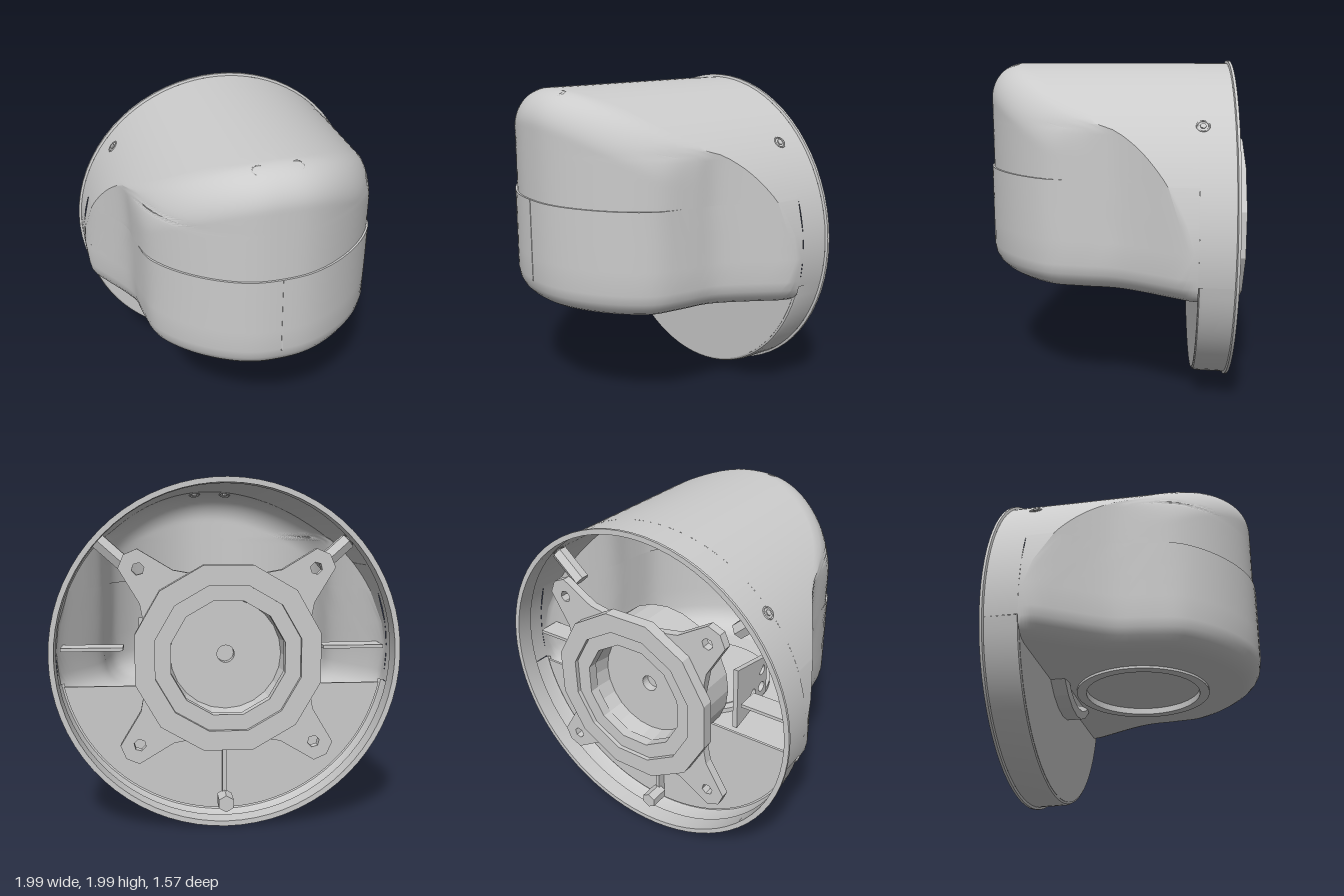
import * as THREE from 'three';
import { toCreasedNormals } from 'three/addons/utils/BufferGeometryUtils.js';

const grey = new THREE.MeshStandardMaterial({ color: 0xcccccc, side: THREE.DoubleSide });
const facet = new THREE.MeshStandardMaterial({ color: 0xcccccc, side: THREE.DoubleSide, flatShading: true });
const R = 0.98, CY = 1, BOTTOM = 0.7, BACK = -0.49;

// plan outline of the housing, mirrored about x = 0
const half = [[0.985, BACK], [0.965, -0.41], [0.89, -0.28], [0.8, -0.13], [0.74, 0], [0.72, 0.15],
  [0.68, 0.33], [0.6, 0.46], [0.47, 0.59], [0.3, 0.7], [0.15, 0.755], [0, 0.768]];
const outline = [...half, ...half.slice(0, -1).reverse().map(([x, z]) => [-x, z])];
const plan = new THREE.CatmullRomCurve3(outline.map(([x, z]) => new THREE.Vector3(x, 0, z)), false, 'centripetal');
const N = 96, K = 14;
const { smoothstep, clamp } = THREE.MathUtils;
const circleX = y => Math.sqrt(Math.max(0, R * R - (y - CY) ** 2));
const fillet = (d, r) => (d >= r ? 0 : r - Math.sqrt(Math.max(0, r * r - (r - d) ** 2)));

// plan parameter, on the +x side, where the outline reaches a given x
function planAt(x) {
  let lo = 0, hi = 0.5;
  for (let i = 0; i < 30; i++) {
    const mid = (lo + hi) / 2;
    if (plan.getPoint(mid).x > x) lo = mid; else hi = mid;
  }
  return lo;
}

// one level of the housing: plan outline cut by the round drum, with rounded edges
function level(y, grow) {
  const c = circleX(y), u0 = planAt(c);
  return Array.from({ length: N + 1 }, (_, i) => {
    const side = Math.min(i, N - i);
    let u = side < K ? u0 * side / K : u0 + (0.5 - u0) * (side - K) / (N / 2 - K);
    if (i > N / 2) u = 1 - u;
    const p = plan.getPoint(u), t = plan.getTangent(u);
    const inset = fillet(y - BOTTOM, 0.16) - grow * smoothstep(p.z, 0.2, 0.4);
    const x = clamp(p.x - t.z * inset, -c, c);
    let z = Math.max(BACK, p.z + t.x * inset);
    if (y > 1.4) {
      const front = plan.getPoint(planAt(Math.abs(x))).z;
      const top = CY + Math.sqrt(R * R - x * x);
      z = Math.min(z, front - fillet(Math.max(0, top - y), 0.2) * smoothstep(front, 0, 0.35));
    }
    return [x, y, z];
  });
}

function shell(rows) {
  const pos = [], idx = [], W = N + 1;
  rows.forEach(([y, grow], j) => level(y, grow).forEach((p, i) => {
    pos.push(...p);
    if (j && i) {
      const a = (j - 1) * W + i - 1, b = a + 1, c = a + W, d = c + 1;
      idx.push(a, c, b, b, c, d);
    }
  }));
  const geo = new THREE.BufferGeometry();
  geo.setAttribute('position', new THREE.Float32BufferAttribute(pos, 3));
  geo.setIndex(idx);
  return toCreasedNormals(geo, 0.6);
}

// lathe about the z axis from [radius, z] points; angle 0 points down
const turned = (points, sides, from = 0, sweep = Math.PI * 2) =>
  new THREE.LatheGeometry(points.map(p => new THREE.Vector2(...p)), sides, from, sweep).rotateX(Math.PI / 2);

export function createModel() {
  const model = new THREE.Group();
  const add = (name, geo, mat = grey, x = 0, y = 0, z = 0, parent = model) => {
    const m = new THREE.Mesh(geo, mat);
    m.name = name;
    m.position.set(x, y, z);
    parent.add(m);
    return m;
  };
  const extrude = (shape, depth) => new THREE.ExtrudeGeometry(shape, { depth, bevelEnabled: false, curveSegments: 32 });
  const disc = (r, x = 0, y = 0) => new THREE.Path().absarc(x, y, r, 0, Math.PI * 2, true);
  const polygon = (r, n, turn = 0) => Array.from({ length: n }, (_, i) => {
    const a = turn + (i / n) * Math.PI * 2;
    return new THREE.Vector2(r * Math.cos(a), r * Math.sin(a));
  });

  // housing shells, split at the seam
  add('lowerHousing', shell([0.7, 0.704, 0.715, 0.735, 0.765, 0.805, 0.86, 1, 1.15, 1.345]
    .map(y => [y, 0.012]).concat([[1.35, 0.012], [1.35, 0]])));
  const t0 = Math.asin(0.35 / R);
  add('upperHousing', shell(Array.from({ length: 33 }, (_, i) =>
    [CY + R * Math.sin(t0 + (Math.PI / 2 - t0) * (i / 32)), 0])));
  add('frontSeam', new THREE.BoxGeometry(0.008, 0.5, 0.012), grey, 0, 1.1, 0.777);

  // underside with its round window and raised rim
  const floor = new THREE.Shape(level(BOTTOM, 0.012).map(([x, , z]) => new THREE.Vector2(x, z)));
  floor.holes.push(disc(0.37, 0, 0.03));
  add('underside', new THREE.ShapeGeometry(floor, 32).rotateX(Math.PI / 2), grey, 0, BOTTOM, 0);
  const rim = new THREE.Shape().absarc(0, 0, 0.42, 0, Math.PI * 2);
  rim.holes.push(disc(0.36));
  add('windowRim', extrude(rim, 0.045).rotateX(Math.PI / 2), grey, 0, 0.73, 0.03);
  add('window', new THREE.CylinderGeometry(0.37, 0.37, 0.01, 40), grey, 0, 0.73, 0.03);

  // round base drum: rounded below, running flush into the housing above
  const low = 1.38;
  add('baseWallLower', toCreasedNormals(turned([[0.95, BACK], [0.967, -0.497], [0.975, -0.515], [0.98, -0.685]],
    36, -low, low * 2), 0.6), grey, 0, CY, 0);
  add('baseWallUpper', turned([[0.98, BACK], [0.98, -0.685]], 48, low, Math.PI * 2 - low * 2), grey, 0, CY, 0);
  add('baseFlange', toCreasedNormals(turned([[0.98, -0.685], [0.995, -0.69], [0.995, -0.705], [0.965, -0.705],
    [0.965, -0.6]], 72), 0.6), grey, 0, CY, 0);
  const a0 = Math.asin(-0.2 / 0.955);
  const face = new THREE.Shape().absarc(0, 0, 0.955, Math.PI - a0, Math.PI * 2 + a0, false);
  add('baseFront', extrude(face, 0.015), grey, 0, CY, BACK - 0.015);
  add('baseRib', new THREE.BoxGeometry(0.025, 0.5, 0.06), grey, 0, 0.32, -0.53);
  add('baseClip', new THREE.CylinderGeometry(0.05, 0.05, 0.12, 6).rotateX(Math.PI / 2), facet, 0, 0.12, -0.6);

  // central cup passing through the base
  add('centralCup', turned([[0, -0.41], [0.35, -0.41], [0.38, -0.39], [0.43, -0.4], [0.43, -0.72], [0.34, -0.74],
    [0.32, -0.6], [0.05, -0.6], [0.05, -0.55], [0, -0.55]], 24), facet, 0, CY, 0);

  // rear mounting bracket: stepped ring and four drilled arms
  const bracket = new THREE.Group();
  bracket.name = 'mountingBracket';
  bracket.position.set(0, CY, 0);
  model.add(bracket);
  [[0.535, 0.42, -0.79, 0.07], [0.45, 0.33, -0.765, 0.06]].forEach(([ro, ri, z, d], i) => {
    const s = new THREE.Shape(polygon(ro, 12, Math.PI / 12));
    s.holes.push(new THREE.Path(polygon(ri, 12, Math.PI / 12)));
    add('bracketRing' + (i + 1), extrude(s, d), facet, 0, 0, z, bracket);
  });
  for (let i = 0; i < 4; i++) {
    const arm = new THREE.Shape([[0.43, -0.22], [0.56, -0.13], [0.78, -0.075], [0.81, 0], [0.78, 0.075],
      [0.56, 0.13], [0.43, 0.22]].map(p => new THREE.Vector2(...p)));
    arm.holes.push(new THREE.Path(polygon(0.035, 6).map(p => p.add(new THREE.Vector2(0.7, 0)))));
    const m = add('bracketArm', extrude(arm, 0.05), facet, 0, 0, -0.725, bracket);
    m.rotation.z = Math.PI / 4 + i * Math.PI / 2;
  }

  // pierced side plates and inner bosses, mirrored
  const plate = new THREE.Shape([[-0.46, -0.2], [-0.12, -0.13], [-0.12, 0.13], [-0.46, 0.2]]
    .map(p => new THREE.Vector2(...p)));
  for (const z of [-0.38, -0.28, -0.18]) for (const y of [-0.06, 0.06]) plate.holes.push(disc(0.032, z, y));
  for (const s of [-1, 1]) {
    add('sidePlate', extrude(plate, 0.03).rotateY(-Math.PI / 2), facet, s * 0.5, CY, 0);
    add('sideShelf', new THREE.BoxGeometry(0.36, 0.02, 0.14), grey, s * 0.77, 1.02, -0.45);
    const boss = add('screwBoss', new THREE.CylinderGeometry(0.05, 0.05, 0.22, 6), facet, s * 0.64, 1.57, -0.51);
    boss.rotation.z = -s * 0.84;
  }

  // screws on the outer shell
  const screw = (x, y, z, normal) => {
    const g = new THREE.Group();
    g.name = 'screw';
    g.position.set(x, y, z);
    g.quaternion.setFromUnitVectors(new THREE.Vector3(0, 0, 1), normal.normalize());
    add('screwRim', new THREE.TorusGeometry(0.034, 0.005, 6, 20), grey, 0, 0, 0, g);
    add('screwHead', new THREE.CylinderGeometry(0.018, 0.018, 0.012, 6).rotateX(Math.PI / 2), facet, 0, 0, 0, g);
    model.add(g);
  };
  for (const s of [-1, 1]) {
    screw(s * 0.108, 1.957, 0.625, new THREE.Vector3(s * 0.1, 1, 0.4));
    screw(s * 0.73, 1.654, -0.51, new THREE.Vector3(s * 0.73, 0.654, 0));
  }
  return model;
}
